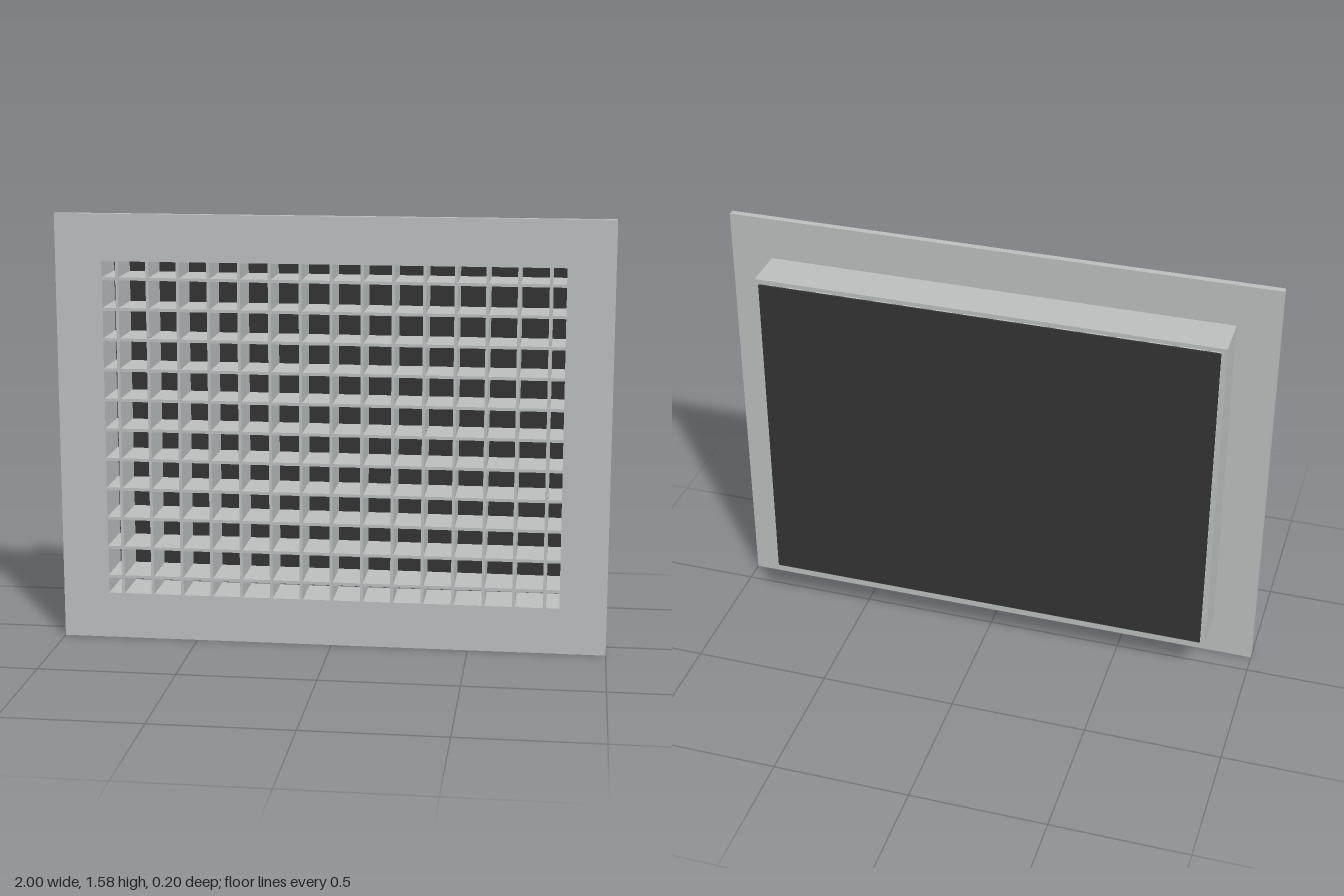
import * as THREE from 'three';

const W = 2, H = 1.575, CY = 0.788;          // flange size, opening centre height
const OPEN_W = 1.66, OPEN_H = 1.234;         // inner opening
const DUCT_W = 1.696, DUCT_H = 1.262;        // outer size of the rear collar
const FRONT = 0.101, FLANGE_BACK = 0.077, DUCT_BACK = -0.087;
const PITCH = 0.1108, BAR = 0.011;

function rect(path, w, h) {
  path.moveTo(-w / 2, -h / 2);
  path.lineTo(w / 2, -h / 2);
  path.lineTo(w / 2, h / 2);
  path.lineTo(-w / 2, h / 2);
  path.closePath();
  return path;
}

// Rectangular ring around the opening, running from z0 to z1
function ring(name, w, h, z0, z1, material) {
  const shape = rect(new THREE.Shape(), w, h);
  shape.holes.push(rect(new THREE.Path(), OPEN_W, OPEN_H));
  const geometry = new THREE.ExtrudeGeometry(shape, { depth: z1 - z0, bevelEnabled: false });
  const mesh = new THREE.Mesh(geometry, material);
  mesh.name = name;
  mesh.position.set(0, CY, z0);
  return mesh;
}

function box(name, w, h, z0, z1, x, y, material) {
  const mesh = new THREE.Mesh(new THREE.BoxGeometry(w, h, z1 - z0), material);
  mesh.name = name;
  mesh.position.set(x, y, (z0 + z1) / 2);
  return mesh;
}

export function createModel() {
  const metal = new THREE.MeshStandardMaterial({ color: 0xbabebd });
  metal.name = 'light grey metal';
  const dark = new THREE.MeshStandardMaterial({ color: 0x333333 });
  dark.name = 'dark backing';

  const model = new THREE.Group();
  model.name = 'ventGrille';

  // Wall flange and the collar behind it
  model.add(ring('flange', W, H, FLANGE_BACK, FRONT, metal));
  model.add(ring('collar', DUCT_W, DUCT_H, DUCT_BACK, FLANGE_BACK, metal));

  // Egg-crate core of crossing slats
  const core = new THREE.Group();
  core.name = 'gridCore';
  for (let i = -7; i <= 7; i++) {
    core.add(box('verticalSlat', BAR, OPEN_H, DUCT_BACK, FRONT, i * PITCH, CY, metal));
  }
  for (let j = -5; j <= 5; j++) {
    core.add(box('horizontalSlat', OPEN_W, BAR, DUCT_BACK, FRONT, 0, CY + j * PITCH, metal));
  }
  model.add(core);

  // Thin backing sheet, just clear of the collar
  model.add(box('backingSheet', OPEN_W, OPEN_H, -0.101, -0.094, 0, CY, dark));

  return model;
}
